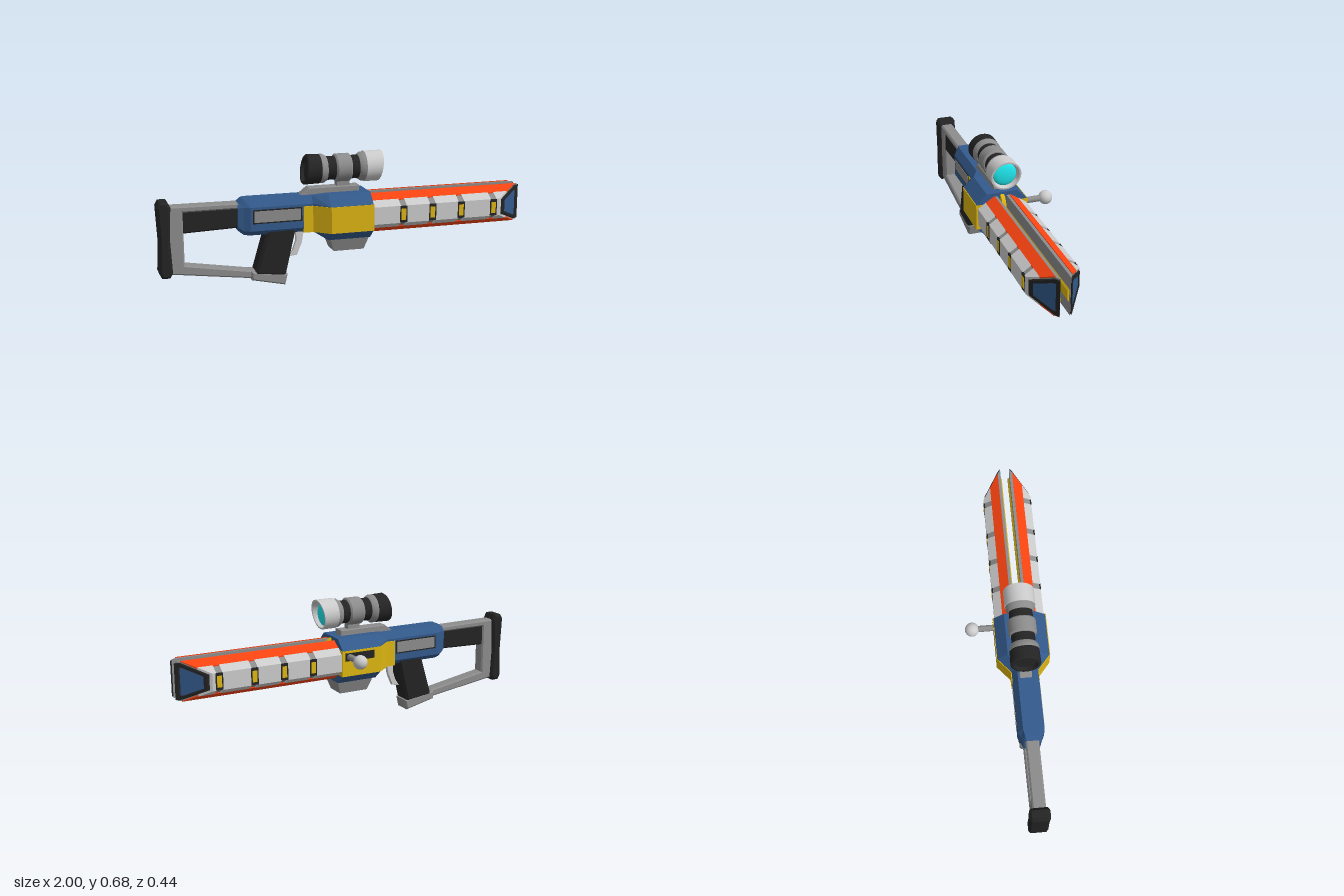
import * as THREE from 'three';
import { toCreasedNormals } from 'three/addons/utils/BufferGeometryUtils.js';

const mat = (color, flatShading = true) => new THREE.MeshStandardMaterial({ color, flatShading });
const GREY = mat(0xcccccc), STEEL = mat(0x8c8c8c), BLACK = mat(0x242424), BLUE = mat(0x335a8c);
const YELLOW = mat(0xdcb412), ORANGE = mat(0xff4411);
const smooth = (color) => mat(color, false);

export function createModel() {
  const model = new THREE.Group();
  const body = new THREE.Group();
  body.name = 'rifle';
  body.position.z = 0.077;
  model.add(body);

  const add = (name, geo, material, x = 0, y = 0, z = 0) => {
    const m = new THREE.Mesh(geo, material);
    m.name = name;
    m.position.set(x, y, z);
    body.add(m);
    return m;
  };
  const box = (name, material, x0, x1, y0, y1, z0, z1) => add(name,
    new THREE.BoxGeometry(x1 - x0, y1 - y0, Math.abs(z1 - z0)), material, (x0 + x1) / 2, (y0 + y1) / 2, (z0 + z1) / 2);

  // side outline extruded across the width, with bevelled edges
  const prism = (name, pts, h, b, material) => {
    const geo = new THREE.ExtrudeGeometry(new THREE.Shape(pts.map((p) => new THREE.Vector2(...p))), {
      depth: 2 * (h - b), bevelEnabled: b > 0, bevelThickness: b, bevelSize: b, bevelOffset: -b, bevelSegments: 1,
    });
    return add(name, geo.translate(0, 0, b - h), material);
  };

  // skin over matching rings of [x, y, z]; flipped if it comes out inside out
  const loft = (name, rings, material, caps = true) => {
    const tris = [];
    const n = rings[0].length;
    for (let i = 0; i + 1 < rings.length; i++) {
      for (let j = 0; j < n; j++) {
        const k = (j + 1) % n, a = rings[i], b = rings[i + 1];
        tris.push([a[j], a[k], b[k]], [a[j], b[k], b[j]]);
      }
    }
    if (caps) {
      const a = rings[0], b = rings[rings.length - 1];
      for (let j = 1; j + 1 < n; j++) tris.push([a[0], a[j + 1], a[j]], [b[0], b[j], b[j + 1]]);
    }
    const V = (p) => new THREE.Vector3(...p);
    const volume = tris.reduce((s, [a, b, c]) => s + V(a).dot(V(b).cross(V(c))), 0);
    if (volume < 0) tris.forEach((t) => t.reverse());
    const geo = new THREE.BufferGeometry();
    geo.setAttribute('position', new THREE.Float32BufferAttribute(tris.flat(2), 3));
    geo.computeVertexNormals();
    return add(name, geo, material);
  };

  // eight-sided receiver: x, half width, half top, bottom, lower side, upper side, top
  const oct = (x, w, t, y0, s0, s1, y1) => [[x, y1, t], [x, s1, w], [x, s0, w], [x, y0, t],
    [x, y0, -t], [x, s0, -w], [x, s1, -w], [x, y1, -t]];
  loft('receiver', [
    oct(-0.59, 0.045, 0.028, 0.31, 0.33, 0.43, 0.455),
    oct(-0.56, 0.055, 0.035, 0.287, 0.31, 0.435, 0.475),
    oct(-0.53, 0.07, 0.042, 0.283, 0.31, 0.435, 0.475),
    oct(-0.2, 0.07, 0.042, 0.283, 0.31, 0.435, 0.475),
    oct(-0.12, 0.139, 0.083, 0.235, 0.283, 0.425, 0.48),
    oct(0.11, 0.139, 0.083, 0.235, 0.283, 0.425, 0.48),
  ], BLUE);

  // yellow cheek plates and grey side panels
  const plan = [[-0.25, 0.05], [-0.25, 0.074], [-0.2, 0.075], [-0.12, 0.143], [0.113, 0.143], [0.113, 0.1], [-0.1, 0.1], [-0.19, 0.05]];
  for (const s of [1, -1]) {
    const plate = prism('cheekPlate', plan.map(([x, z]) => [x, s * z]), 0.07, 0, YELLOW);
    plate.rotation.x = Math.PI / 2;
    plate.position.y = 0.354;
    box('sidePanelRim', BLACK, -0.517, -0.258, 0.348, 0.422, s * 0.06, s * 0.071);
    box('sidePanel', STEEL, -0.51, -0.265, 0.355, 0.415, s * 0.06, s * 0.073);
  }

  // magazine under the receiver
  const rect = (y, x, z) => [[-x, y, -z], [x, y, -z], [x, y, z], [-x, y, z]];
  loft('magazine', [rect(0.165, 0.083, 0.055), rect(0.24, 0.108, 0.077)], STEEL);

  // rounded yellow fin between the barrel halves
  add('centreFin', new THREE.CylinderGeometry(0.115, 0.115, 0.021, 32).rotateX(Math.PI / 2).scale(0.5, 1, 1), YELLOW, 0.105, 0.355, 0);

  // split barrel, each half cut at a slant towards the muzzle
  const tipX = (o) => 0.835 + (0.134 - o) * 1.42;
  const core = [[0.025, 0.46], [0.04, 0.46], [0.128, 0.402], [0.128, 0.315], [0.04, 0.257], [0.025, 0.257]];
  const casing = [[0.09, 0.434], [0.133, 0.405], [0.133, 0.312], [0.09, 0.283]];
  const slots = [0.28, 0.445, 0.61, 0.8];
  for (const s of [1, -1]) {
    const ring = (pts, x) => pts.map(([o, y]) => [x === 'tip' ? tipX(o) : x, y, s * o]);
    loft('barrelHalf', [ring(core, 0.1), ring(core, 'tip')], STEEL);

    // casing segments with a lit slot at every joint
    const starts = [0.1, ...slots.map((x) => x + 0.016)];
    const ends = [...slots.map((x) => x - 0.016), 'tip'];
    starts.forEach((x, i) => loft('barrelCasing', [ring(casing, x), ring(casing, ends[i])], GREY));
    for (const x of slots) {
      box('slotFrame', BLACK, x - 0.02, x + 0.02, 0.314, 0.403, s * 0.115, s * 0.1345);
      box('slotLight', YELLOW, x - 0.013, x + 0.013, 0.328, 0.389, s * 0.115, s * 0.136);
    }

    // orange strips above and below
    for (const v of [1, -1]) {
      const strip = [[0.041, 0.101], [0.041, 0.106], [0.09, 0.0745], [0.09, 0.067]].map(([o, h]) => [o, 0.3585 + v * h]);
      loft('orangeStrip', [ring(strip, 0.1), ring(strip, 'tip')], ORANGE);
    }

    // inner rail facing the gap
    const rail = [[0.03, 0.395], [0.017, 0.38], [0.017, 0.333], [0.03, 0.318]];
    loft('innerRail', [ring(rail, 0.1), ring(rail, 0.975)], YELLOW);

    // framed muzzle panel on the slanted cut
    const inset = (k, lift) => core.map(([o, y]) => {
      const p = 0.077 + (o - 0.077) * k;
      return [tipX(p) + lift, 0.3585 + (y - 0.3585) * k, s * p];
    });
    loft('muzzleFrame', [inset(0.93, 0), inset(0.93, 0.012), inset(0.72, 0.012), inset(0.72, 0), inset(0.93, 0)], BLACK, false);
    loft('muzzlePanel', [inset(0.74, -0.01), inset(0.74, 0.003)], BLUE);
  }

  // stock
  prism('buttPad', [[-0.985, 0.487], [-0.945, 0.487], [-0.93, 0.46], [-0.938, 0.28], [-0.93, 0.115], [-0.945, 0.09],
    [-0.985, 0.09], [-1, 0.12], [-0.992, 0.28], [-1, 0.46]], 0.053, 0.012, BLACK);
  prism('stockFrame', [[-0.95, 0.46], [-0.575, 0.457], [-0.575, 0.425], [-0.868, 0.425], [-0.868, 0.15], [-0.5, 0.087],
    [-0.5, 0.045], [-0.95, 0.107]], 0.035, 0.008, STEEL);
  prism('stockTube', [[-0.875, 0.432], [-0.57, 0.432], [-0.57, 0.325], [-0.875, 0.315]], 0.03, 0.008, BLACK);

  // grip, its foot and the trigger
  prism('grip', [[-0.437, 0.31], [-0.285, 0.31], [-0.345, 0.05], [-0.508, 0.07]], 0.057, 0.014, BLACK);
  prism('gripFoot', [[-0.525, 0.088], [-0.333, 0.06], [-0.347, 0.002], [-0.525, 0.042]], 0.053, 0.008, STEEL);
  prism('trigger', [[-0.28, 0.3], [-0.23, 0.3], [-0.245, 0.215], [-0.272, 0.15], [-0.318, 0.142], [-0.295, 0.175], [-0.278, 0.225]], 0.011, 0.003, GREY);

  // bolt slot and handle
  box('boltSlot', BLACK, -0.08, 0.095, 0.368, 0.412, -0.13, -0.1445);
  add('boltRod', new THREE.CylinderGeometry(0.017, 0.017, 0.14, 20).rotateX(Math.PI / 2), smooth(0x8c8c8c), 0.07, 0.39, -0.19);
  add('boltKnob', new THREE.SphereGeometry(0.038, 28, 18), smooth(0xcccccc), 0.07, 0.39, -0.259);

  // scope rail and mount
  prism('scopeRail', [[-0.26, 0.47], [-0.21, 0.51], [0.065, 0.51], [0.065, 0.47]], 0.032, 0.004, STEEL);
  box('scopeMount', STEEL, -0.055, 0.015, 0.505, 0.55, -0.021, 0.021);

  // scope turned around x, both ends raked
  const turn = (name, pts, color) => {
    const geo = new THREE.LatheGeometry(pts.map(([x, r]) => new THREE.Vector2(r, x)), 36).rotateZ(-Math.PI / 2);
    const p = geo.attributes.position;
    for (let i = 0; i < p.count; i++) {
      const x = p.getX(i);
      if (x < -0.2 || x > 0.17) p.setX(i, x + 0.15 * p.getY(i));
    }
    add(name, toCreasedNormals(geo, 0.6), smooth(color), 0, 0.604, 0);
  };
  turn('scopeEyepiece', [[-0.21, 0], [-0.21, 0.058], [-0.228, 0.062], [-0.228, 0.074], [-0.222, 0.079], [-0.15, 0.077], [-0.145, 0.07], [-0.145, 0]], 0x242424);
  turn('scopeRearCollar', [[-0.147, 0], [-0.147, 0.077], [-0.13, 0.077], [-0.112, 0.066], [-0.112, 0]], 0x8c8c8c);
  turn('scopeTube', [[-0.13, 0], [-0.13, 0.062], [0.08, 0.062], [0.08, 0]], 0x242424);
  turn('scopeRing', [[-0.066, 0], [-0.066, 0.067], [-0.058, 0.074], [0.012, 0.074], [0.02, 0.067], [0.02, 0]], 0x8c8c8c);
  turn('scopeFrontCollar', [[0.062, 0], [0.062, 0.066], [0.08, 0.077], [0.1, 0.077], [0.1, 0]], 0x8c8c8c);
  turn('scopeHood', [[0.096, 0], [0.096, 0.081], [0.182, 0.081], [0.182, 0.072], [0.15, 0.063], [0.15, 0]], 0xcccccc);
  add('scopeLens', new THREE.SphereGeometry(0.063, 32, 20).scale(0.3, 1, 1), smooth(0x1fe8ee), 0.151, 0.604, 0);

  return model;
}
